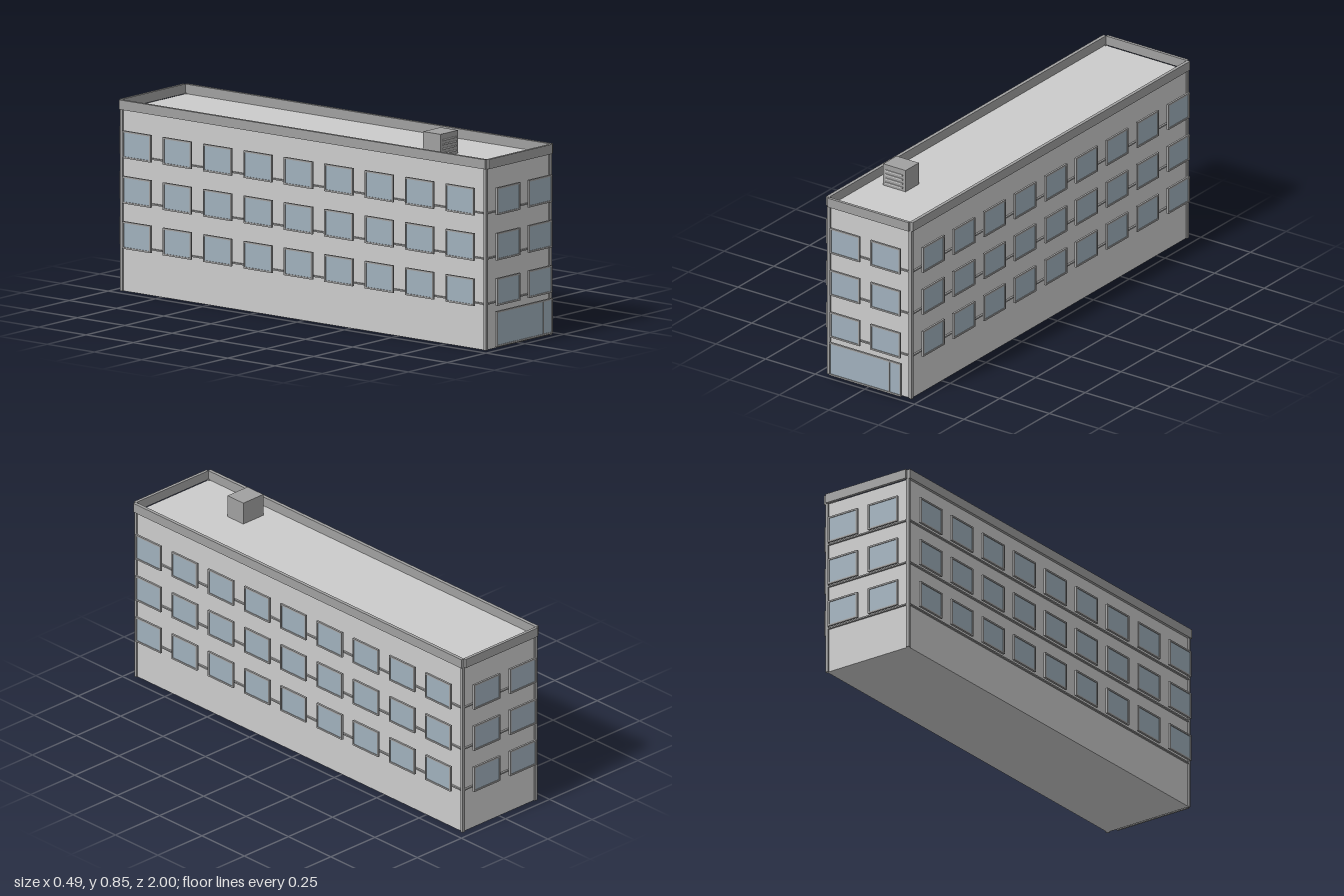
import * as THREE from 'three';

const wallMat = new THREE.MeshStandardMaterial({ color: 0xcccccc });
const trimMat = new THREE.MeshStandardMaterial({ color: 0xa0a0a0 });
const glassMat = new THREE.MeshStandardMaterial({ color: 0xa0b0bc });

// Box given by its min and max corners
function box(parent, name, mat, [x0, y0, z0], [x1, y1, z1]) {
  const mesh = new THREE.Mesh(new THREE.BoxGeometry(x1 - x0, y1 - y0, z1 - z0), mat);
  mesh.position.set((x0 + x1) / 2, (y0 + y1) / 2, (z0 + z1) / 2);
  mesh.name = name;
  parent.add(mesh);
  return mesh;
}

// Frame ring with a pane set towards the wall; outer face lies at local z = 0
const FRAME = 0.007, DEPTH = 0.009;
function frameGeometry(w, h) {
  const rect = (T, a, b) => {
    const p = new T();
    p.moveTo(-a, -b).lineTo(a, -b).lineTo(a, b).lineTo(-a, b).closePath();
    return p;
  };
  const shape = rect(THREE.Shape, w / 2, h / 2);
  shape.holes.push(rect(THREE.Path, w / 2 - FRAME, h / 2 - FRAME));
  return new THREE.ExtrudeGeometry(shape, { depth: DEPTH, bevelEnabled: false }).translate(0, 0, -DEPTH);
}
function glazedUnit(name, w, h, frameGeo = frameGeometry(w, h)) {
  const unit = new THREE.Group();
  unit.name = name;
  const frame = new THREE.Mesh(frameGeo, trimMat);
  frame.name = name + 'Frame';
  unit.add(frame);
  const a = w / 2 - FRAME, b = h / 2 - FRAME;
  box(unit, name + 'Glass', glassMat, [-a, -b, -0.013], [a, b, -0.003]);
  return unit;
}

export function createModel() {
  const model = new THREE.Group();
  model.name = 'building';
  const signs = [-1, 1];

  // Main block with flat roof
  box(model, 'walls', wallMat, [-0.207, 0, -0.962], [0.207, 0.757, 0.962]);

  // Corner posts
  for (const sx of signs) for (const sz of signs) {
    const post = box(model, 'cornerPost', trimMat, [-0.0075, 0, -0.0065], [0.0075, 0.76, 0.0065]);
    post.position.x = sx * 0.205;
    post.position.z = sz * 0.9615;
  }

  // Parapet walls around the roof
  for (const s of signs) {
    const side = box(model, 'sideParapet', trimMat, [-0.0075, 0.757, -0.968], [0.0075, 0.797, 0.968]);
    side.position.x = s * 0.2115;
    const end = box(model, 'endParapet', trimMat, [-0.204, 0.757, -0.0065], [0.204, 0.797, 0.0065]);
    end.position.z = s * 0.9715;
  }

  // Sill bands and windows on each upper floor
  const W = 0.15, H = 0.114;
  const windowGeo = frameGeometry(W, H);
  for (let floor = 0; floor < 3; floor++) {
    const bandY = 0.193 + floor * 0.189, windowY = 0.2425 + floor * 0.189;
    box(model, 'sillBand', trimMat, [-0.215, bandY - 0.003, -0.955], [0.215, bandY + 0.003, 0.955]);
    box(model, 'endSillBand', trimMat, [-0.198, bandY - 0.003, -0.97], [0.198, bandY + 0.003, 0.97]);

    for (const s of signs) {
      for (let i = -4; i <= 4; i++) {
        const win = glazedUnit('sideWindow', W, H, windowGeo);
        win.position.set(s * 0.245, windowY, i * 0.2138);
        win.rotation.y = s * Math.PI / 2;
        model.add(win);
      }
      for (const sx of signs) {
        const win = glazedUnit('endWindow', W, H, windowGeo);
        win.position.set(sx * 0.102, windowY, s);
        win.rotation.y = s > 0 ? 0 : Math.PI;
        model.add(win);
      }
    }
  }

  // Ground floor shopfront with door mullion
  const shop = glazedUnit('shopfront', 0.362, 0.148);
  box(shop, 'doorMullion', trimMat, [0.119, -0.067, -DEPTH], [0.124, 0.067, 0]);
  shop.position.set(0, 0.088, 1);
  model.add(shop);

  // Rooftop ventilation unit with louvre slats
  const vent = new THREE.Group();
  vent.name = 'roofUnit';
  box(vent, 'roofUnitBody', trimMat, [-0.144, 0.755, 0.579], [-0.031, 0.853, 0.672]);
  for (let i = 0; i < 4; i++) {
    const y = 0.827 - i * 0.0185;
    box(vent, 'louvreSlat', wallMat, [-0.131, y - 0.003, 0.67], [-0.045, y + 0.003, 0.676]);
  }
  model.add(vent);

  return model;
}
